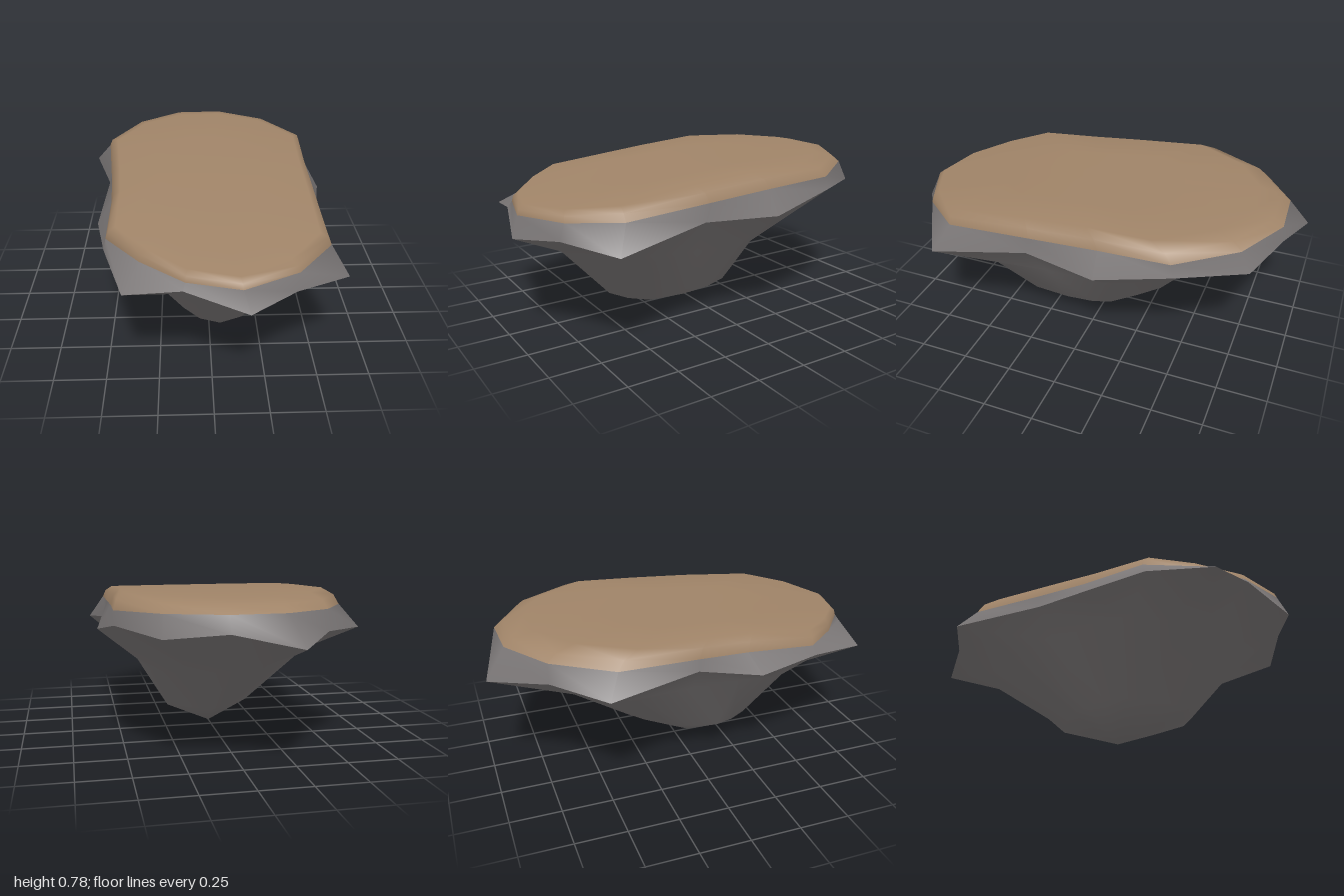
import * as THREE from 'three';
import { mergeVertices } from 'three/addons/utils/BufferGeometryUtils.js';

// outline of the earth slab [x, z], counter-clockwise from the front
const slab = [
  [0.12, 0.96], [0.37, 0.84], [0.54, 0.63], [0.54, 0.2], [0.54, -0.15], [0.55, -0.5], [0.36, -0.77], [0.1, -0.91],
  [-0.15, -0.9], [-0.38, -0.74], [-0.54, -0.46], [-0.5, -0.06], [-0.48, 0.2], [-0.48, 0.55], [-0.32, 0.74], [-0.12, 0.9],
];

// rock cross-sections [x, y, z], one point for each slab point
const rim = [
  [0.15, 0.53, 1], [0.36, 0.55, 0.86], [0.62, 0.52, 0.7], [0.54, 0.58, 0.22], [0.61, 0.57, -0.15], [0.55, 0.64, -0.52],
  [0.37, 0.62, -0.82], [0.1, 0.65, -0.92], [-0.2, 0.59, -1], [-0.39, 0.62, -0.74], [-0.62, 0.6, -0.52], [-0.5, 0.62, -0.06],
  [-0.55, 0.57, 0.25], [-0.49, 0.6, 0.57], [-0.39, 0.56, 0.88], [-0.13, 0.6, 0.92],
];
const shoulder = [
  [0.09, 0.41, 0.75], [0.28, 0.4, 0.65], [0.42, 0.39, 0.47], [0.4, 0.39, 0.18], [0.36, 0.36, -0.1], [0.32, 0.35, -0.2],
  [0.17, 0.37, -0.41], [0.02, 0.42, -0.58], [-0.12, 0.46, -0.67], [-0.28, 0.47, -0.55], [-0.41, 0.47, -0.34], [-0.38, 0.47, -0.05],
  [-0.4, 0.48, 0.2], [-0.39, 0.46, 0.42], [-0.26, 0.44, 0.57], [-0.09, 0.43, 0.68],
];
const foot = [
  [0.05, 0.12, 0.48], [0.16, 0.12, 0.43], [0.23, 0.115, 0.34], [0.24, 0.11, 0.15], [0.24, 0.12, 0], [0.23, 0.14, -0.1],
  [0.15, 0.16, -0.22], [0.06, 0.17, -0.32], [0, 0.17, -0.28], [-0.08, 0.16, -0.2], [-0.17, 0.15, -0.08], [-0.21, 0.15, 0.03],
  [-0.235, 0.145, 0.16], [-0.2, 0.14, 0.26], [-0.13, 0.13, 0.36], [-0.05, 0.12, 0.44],
];

// gently sloping ground height, and the lower edge of the earth
const groundY = (z) => 0.76 - 0.06 * z - 0.04 * z * z;
const edgeY = (z) => 0.68 - 0.055 * z;

// slab outline scaled and shifted forward; sink runs from 0 at the ground to 1 at the lower edge
const slabRing = (scale, shift, sink) => slab.map(([x, z]) => {
  const zz = z * scale + shift;
  return [x * scale, THREE.MathUtils.lerp(groundY(zz), edgeY(z), sink), zz];
});

// joins rings, listed from the top down, into one smooth skin
function loft(rings) {
  const n = slab.length;
  const index = [];
  for (let r = 0; r < rings.length - 1; r++) {
    for (let i = 0; i < n; i++) {
      const j = (i + 1) % n;
      const a = r * n + i, b = r * n + j, c = a + n, d = b + n;
      index.push(a, c, d, a, d, b);
    }
  }
  let geometry = new THREE.BufferGeometry();
  geometry.setAttribute('position', new THREE.Float32BufferAttribute(rings.flat(2), 3));
  geometry.setIndex(index);
  geometry = mergeVertices(geometry);
  geometry.computeVertexNormals();
  return geometry;
}

function addPart(group, name, rings, color) {
  const material = new THREE.MeshStandardMaterial({ color, side: THREE.DoubleSide });
  const mesh = new THREE.Mesh(loft(rings), material);
  mesh.name = name;
  group.add(mesh);
}

export function createModel() {
  const group = new THREE.Group();
  group.name = 'floatingIsland';
  const rockColor = 0x7c7878;
  const slabEdge = slabRing(1, 0, 1);

  // earth slab: steep at the front, rounded off at the back
  addPart(group, 'earthTop', [
    slabRing(0, 0.06, 0), slabRing(0.5, 0.06, 0), slabRing(0.9, 0.06, 0), slabRing(0.97, 0.02, 0.4), slabEdge,
  ], 0xa08468);

  // rock ledge around the slab, with a sharp jagged rim
  addPart(group, 'rockLedge', [slabEdge, rim], rockColor);

  // undercut rock tapering to a blunt point
  const point = slab.map(() => [0, 0, 0.08]);
  addPart(group, 'rockBase', [rim, shoulder, foot, point], rockColor);

  return group;
}
